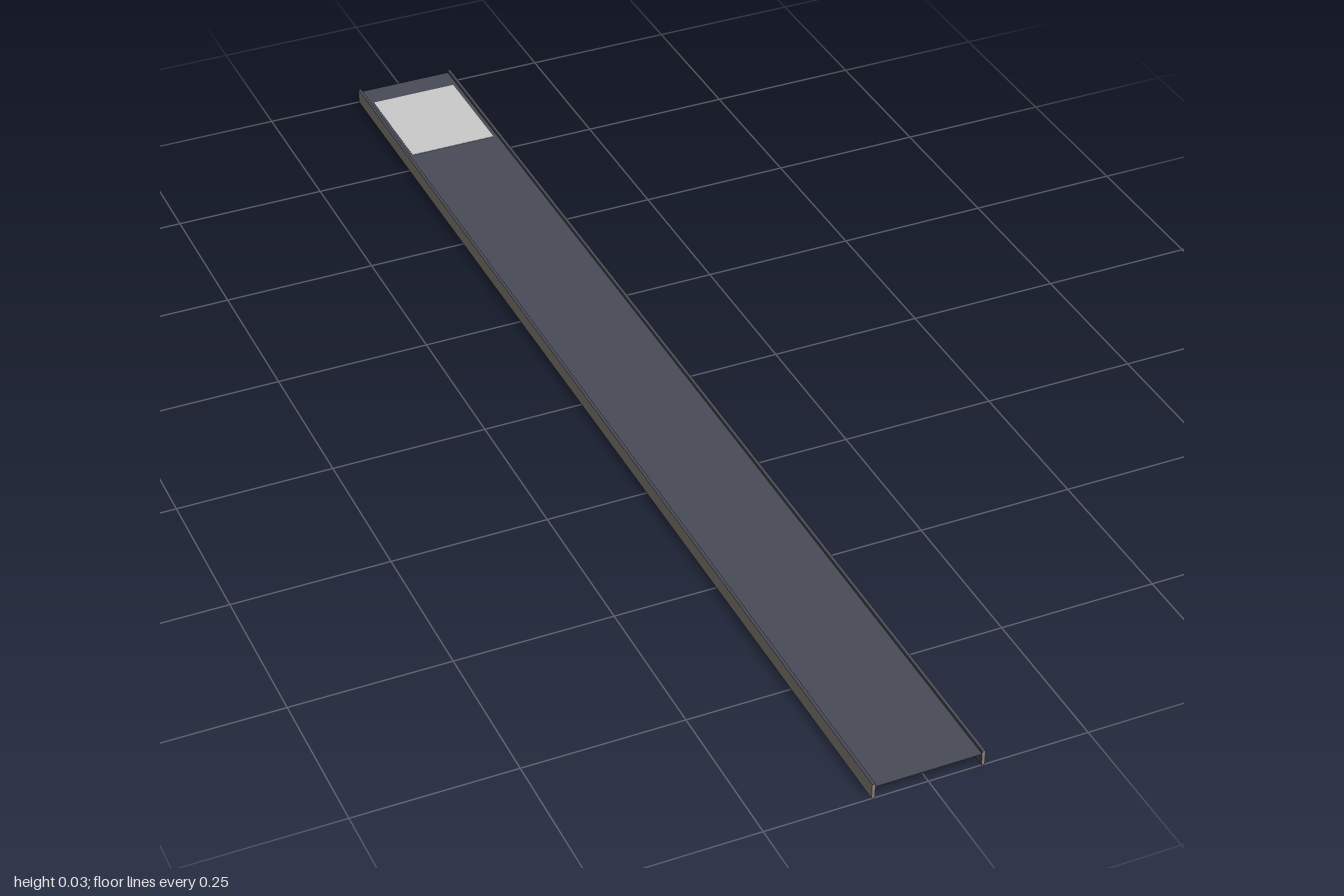
import * as THREE from 'three';

const LENGTH = 2, HALF_WIDTH = 0.087, RAIL = 0.005;
const RAIL_TOP = 0.025, DECK_TOP = 0.02, DECK_THICK = 0.002;

function material(name, color) {
  const m = new THREE.MeshStandardMaterial({ color });
  m.name = name;
  return m;
}

export function createModel() {
  const model = new THREE.Group();
  model.name = 'walkway';
  const slate = material('slate', 0x484c56);
  const taupe = material('taupe', 0x87827a);
  const paleGrey = material('paleGrey', 0xcacaca);

  // box given by its size, centre and underside height
  function box(name, w, h, d, x, y, z, mat) {
    const mesh = new THREE.Mesh(new THREE.BoxGeometry(w, h, d), mat);
    mesh.position.set(x, y + h / 2, z);
    mesh.name = name;
    model.add(mesh);
  }

  const inner = 2 * (HALF_WIDTH - RAIL);

  // thin deck between the rails
  box('deck', inner, DECK_THICK, LENGTH, 0, DECK_TOP - DECK_THICK, 0, slate);

  // pale panel near the back of the deck
  box('deckPanel', 0.15, 0.0006, 0.19, 0, DECK_TOP, -0.86, paleGrey);

  // side rails: taupe outside and on the ends, slate inside and on top
  for (const side of [-1, 1]) {
    const right = side > 0 ? taupe : slate;
    const left = side > 0 ? slate : taupe;
    box(side > 0 ? 'leftRail' : 'rightRail', RAIL, RAIL_TOP, LENGTH,
      side * (HALF_WIDTH - RAIL / 2), 0, 0,
      [right, left, slate, taupe, taupe, taupe]);
  }

  // evenly spaced cross ribs below the deck
  const bays = 7, ribHeight = DECK_TOP - DECK_THICK;
  for (let i = 1; i < bays; i++) {
    box('crossRib', inner, ribHeight, 0.005, 0, 0, -LENGTH / 2 + (i * LENGTH) / bays, slate);
  }

  // plate closing the back end
  box('backPlate', inner, ribHeight, 0.005, 0, 0, -LENGTH / 2 + 0.0025, slate);

  return model;
}
